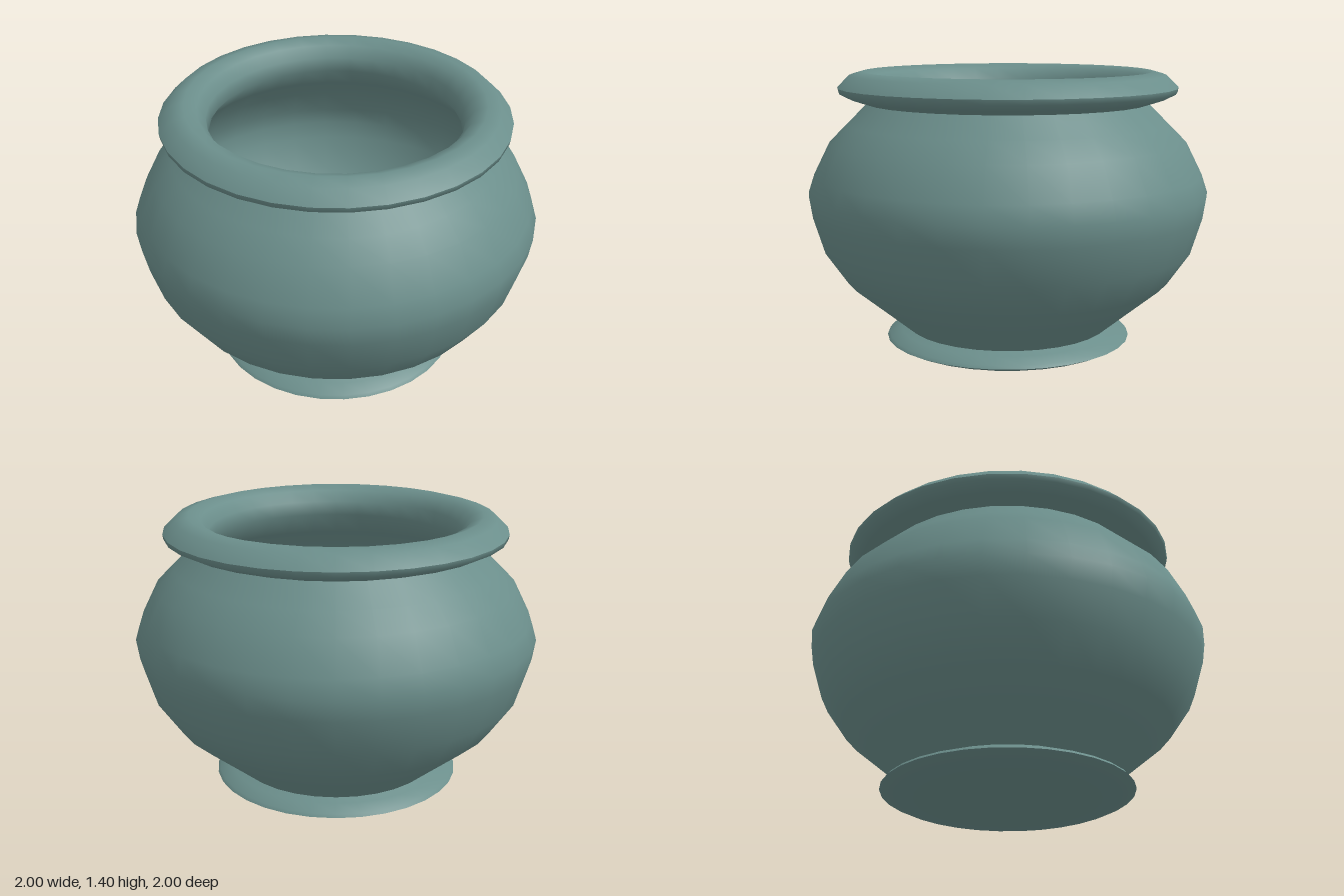
import * as THREE from 'three';
import { toCreasedNormals } from 'three/addons/utils/BufferGeometryUtils.js';

const paint = (color, flatShading = true, side = THREE.FrontSide) => {
  const m = new THREE.MeshStandardMaterial({ color, side });
  m.flatShading = flatShading;
  return m;
};

function add(parent, name, geometry, material, x = 0, y = 0, z = 0) {
  const mesh = new THREE.Mesh(geometry, material);
  mesh.name = name;
  mesh.position.set(x, y, z);
  parent.add(mesh);
  return mesh;
}

const lathe = (pairs, sides) =>
  new THREE.LatheGeometry(pairs.map(([r, y]) => new THREE.Vector2(r, y)), sides);

// Thin fin drawn in the (z, y) plane, centred on x = 0
function finGeometry(pairs) {
  const shape = new THREE.Shape(pairs.map(([z, y]) => new THREE.Vector2(-z, y)));
  const g = new THREE.ExtrudeGeometry(shape, { depth: 0.012, bevelEnabled: false });
  return g.translate(0, 0, -0.006).rotateY(Math.PI / 2);
}

// Pot: foot, belly, rolled rim and hollow inside in one profile
function createBowl() {
  const profile = [
    [0, 0.005], [0.36, 0.01], [0.58, 0.04], [0.622, 0.06], [0.61, 0.075], [0.55, 0.1], [0.515, 0.115],
    [0.64, 0.22], [0.82, 0.37], [0.93, 0.53], [0.985, 0.71], [1, 0.81], [0.97, 0.9],
    [0.89, 1.06], [0.8, 1.15], [0.7, 1.25],
    [0.78, 1.275], [0.84, 1.305], [0.845, 1.33], [0.785, 1.39], [0.72, 1.408],
    [0.66, 1.385], [0.62, 1.33], [0.61, 1.26],
    [0.72, 1.14], [0.83, 1.02], [0.9, 0.88], [0.92, 0.79], [0.9, 0.7], [0.85, 0.54],
    [0.75, 0.4], [0.58, 0.25], [0.42, 0.17], [0, 0.15],
  ];
  return toCreasedNormals(lathe(profile, 32), 0.95);
}

// Fish facing +z
function createFish() {
  const fish = new THREE.Group();
  fish.name = 'fish';
  const gold = paint(0xc8960c);
  const black = paint(0x15110c);

  // Body: sphere tapered towards the tail
  const body = new THREE.SphereGeometry(1, 12, 9).rotateX(Math.PI / 2);
  const p = body.attributes.position;
  for (let i = 0; i < p.count; i++) {
    const z = p.getZ(i);
    const taper = z < 0 ? 1 + 0.45 * z : 1;
    p.setXYZ(i, p.getX(i) * 0.085 * taper, p.getY(i) * 0.115 * taper, z * 0.14);
  }
  add(fish, 'fishBody', body, gold, 0, 0, -0.14);

  add(fish, 'tailFin', finGeometry([[-0.22, 0], [-0.3, 0.05], [-0.4, 0.13], [-0.36, 0], [-0.4, -0.13], [-0.3, -0.05]]), gold);
  add(fish, 'dorsalFin', finGeometry([[-0.08, 0.09], [-0.14, 0.18], [-0.24, 0.15], [-0.22, 0.06]]), gold);
  add(fish, 'bellyFin', finGeometry([[-0.13, -0.08], [-0.21, -0.15], [-0.22, -0.05]]), gold);
  add(fish, 'mouth', new THREE.SphereGeometry(0.035, 8, 6), gold, 0, -0.02, -0.025);

  for (const s of [-1, 1]) {
    add(fish, s > 0 ? 'leftEye' : 'rightEye', new THREE.SphereGeometry(0.036, 10, 8), black, s * 0.066, 0.04, -0.065);
    const fin = add(fish, s > 0 ? 'leftFin' : 'rightFin',
      new THREE.ConeGeometry(0.045, 0.1, 4).scale(1, 1, 0.25), gold, s * 0.085, -0.01, -0.165);
    fin.rotation.set(-0.5, 0, s * -1.2);
  }
  fish.position.set(-0.06, 0.55, 0);
  return fish;
}

// Leaning toadstool
function createMushroom() {
  const mushroom = new THREE.Group();
  mushroom.name = 'mushroom';
  const cap = lathe([[0, 0.22], [0.1, 0.22], [0.19, 0.2], [0.21, 0.23], [0.195, 0.3], [0.14, 0.37], [0.06, 0.405], [0, 0.41]], 16);
  add(mushroom, 'mushroomCap', cap, paint(0xbd6a5c));
  const stem = lathe([[0, 0], [0.085, 0], [0.095, 0.05], [0.07, 0.13], [0.06, 0.24]], 9);
  add(mushroom, 'mushroomStem', stem, paint(0xbdb39a));
  mushroom.position.set(0.01, 0.19, 0.165);
  const lean = new THREE.Vector3(-0.17, 0.27, 0.1).normalize();
  mushroom.quaternion.setFromUnitVectors(new THREE.Vector3(0, 1, 0), lean);
  return mushroom;
}

// Knobbly water plant leaning against the inside of the pot
function createPlant() {
  const path = new THREE.CatmullRomCurve3([
    new THREE.Vector3(0.15, 0.2, 0.07), new THREE.Vector3(0.24, 0.32, -0.07),
    new THREE.Vector3(0.32, 0.42, -0.24), new THREE.Vector3(0.39, 0.52, -0.39),
    new THREE.Vector3(0.45, 0.58, -0.5),
  ]);
  const steps = 18, sides = 8;
  const g = new THREE.TubeGeometry(path, steps, 0.052, sides);
  const p = g.attributes.position;
  const v = new THREE.Vector3();
  for (let i = 0; i <= steps; i++) {
    const centre = path.getPointAt(i / steps);
    const end = i === 0 || i === steps ? 0.02 : 1;
    for (let j = 0; j <= sides; j++) {
      const k = i * (sides + 1) + j;
      const bump = end * (1 + 0.13 * Math.sin(i * 2.1 + (j % sides) * 2.4));
      v.fromBufferAttribute(p, k).sub(centre).multiplyScalar(bump).add(centre);
      p.setXYZ(k, v.x, v.y, v.z);
    }
  }
  return g;
}

export function createModel() {
  const model = new THREE.Group();
  model.name = 'fishPot';
  add(model, 'bowl', createBowl(), paint(0x6b8e8b, false));
  model.add(createFish(), createMushroom());
  add(model, 'waterPlant', createPlant(), paint(0x3f8a52));
  return model;
}
